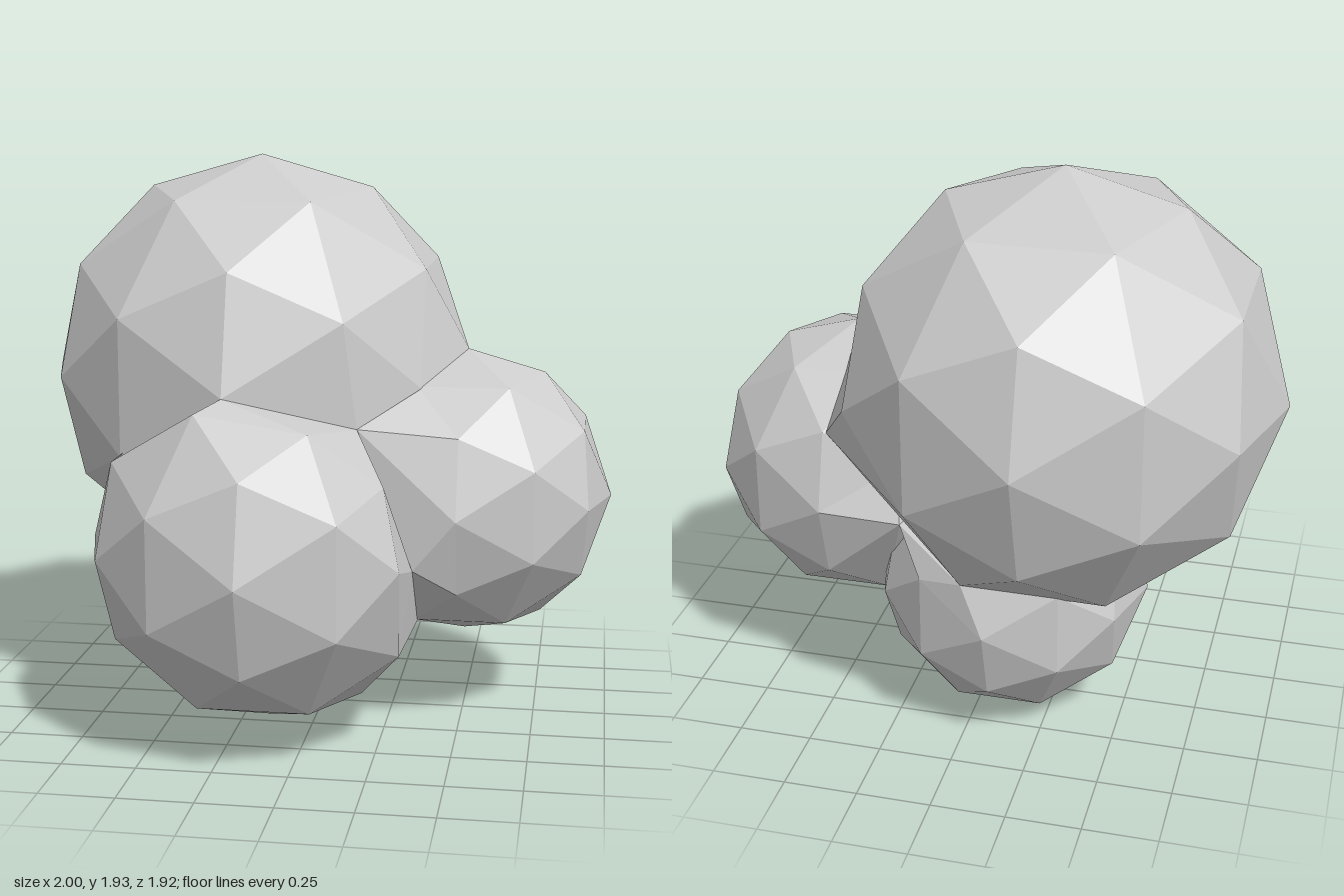
import * as THREE from 'three';

const stone = new THREE.MeshStandardMaterial({ color: 0xcccccc });
stone.name = 'light stone grey';

// Faceted ball; seams are [direction of a vertex, point it is pulled to], so neighbours meet
function ball(name, radius, centre, seams) {
  const geometry = new THREE.IcosahedronGeometry(1, 1);
  const pos = geometry.attributes.position;
  const c = new THREE.Vector3(...centre);
  const v = new THREE.Vector3();
  const pulls = seams.map(([dir, to]) => [new THREE.Vector3(...dir).normalize(), new THREE.Vector3(...to)]);
  for (let i = 0; i < pos.count; i++) {
    v.fromBufferAttribute(pos, i);
    const pull = pulls.find(([dir]) => dir.dot(v) > 0.98);
    if (pull) v.copy(pull[1]).sub(c);
    else v.multiplyScalar(radius);
    pos.setXYZ(i, v.x, v.y, v.z);
  }
  geometry.computeVertexNormals(); // unshared corners give flat facets
  const mesh = new THREE.Mesh(geometry, stone);
  mesh.name = name;
  mesh.position.copy(c);
  return mesh;
}

export function createModel() {
  const group = new THREE.Group();
  group.name = 'ballCluster';

  // Shared corners where the balls meet
  const upperSeam = [0.17, 1.07, 0.39];
  const lowerSeam = [0.36, 0.61, 0.43];
  const sideSeam = [0.5, 1.28, -0.06];
  const frontSeam = [-0.25, 1.185, 0.54];
  const leftSeam = [-0.625, 0.955, 0.397];
  const backSeam = [0.225, 0.76, -0.54];
  const rearSeam = [-0.02, 0.645, -0.68];
  const underSeam = [0.055, 0.185, 0.06];

  group.add(
    ball('largeTopBall', 0.75, [-0.25, 1.185, -0.21], [
      [[0.5, -0.309, 0.809], upperSeam],
      [[1, 0, 0], sideSeam],
      [[0.851, 0, 0.526], [0.36, 1.18, 0.2]],
      [[0.809, -0.5, -0.309], [0.49, 1.04, -0.48]],
      [[0.309, -0.809, -0.5], rearSeam],
    ]),
    ball('frontBall', 0.6, [-0.13, 0.67, 0.36], [
      [[0, 1, 0], frontSeam],
      [[-0.526, 0.851, 0], leftSeam],
      [[0.526, 0.851, 0], upperSeam],
      [[0.809, 0.5, -0.309], upperSeam],
      [[1, 0, 0], lowerSeam],
      [[0.809, 0.5, 0.309], [0.28, 0.92, 0.57]],
      [[0.309, 0.809, 0.5], [0.05, 1.1, 0.66]],
      [[0.851, 0, 0.526], [0.345, 0.67, 0.68]],
      [[0.809, -0.5, 0.309], [0.33, 0.35, 0.53]],
    ]),
    ball('sideBall', 0.5, [0.5, 0.78, -0.06], [
      [[-0.5, 0.309, 0.809], upperSeam],
      [[-0.5, -0.309, 0.809], lowerSeam],
      [[-0.5, -0.309, -0.809], backSeam],
    ]),
    ball('bottomBall', 0.467, [-0.1, 0.47, -0.25], [
      [[0.309, 0.809, -0.5], backSeam],
      [[0, 0.526, -0.851], rearSeam],
      [[0.5, -0.309, 0.809], underSeam],
    ]),
  );
  return group;
}
